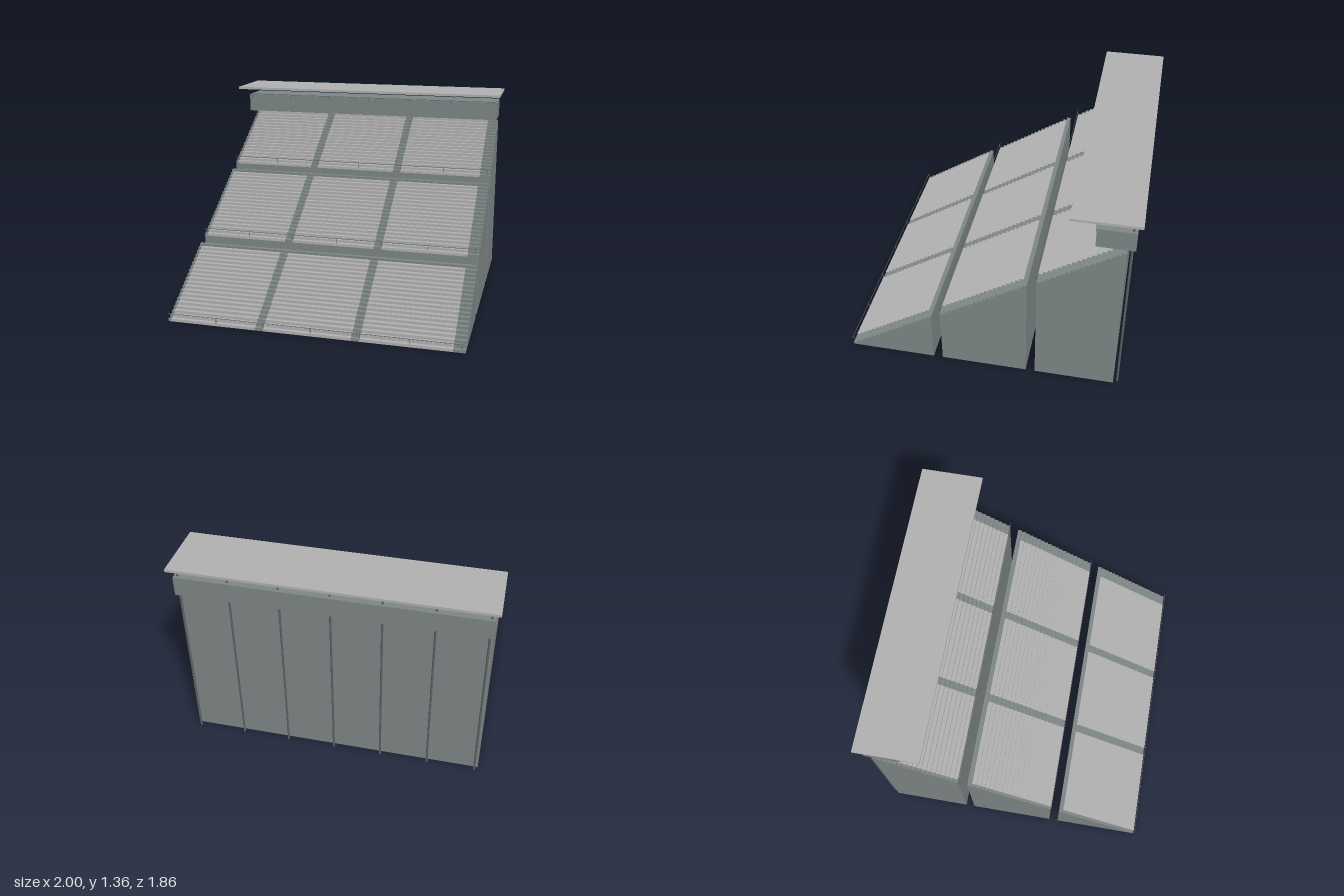
import * as THREE from 'three';
import { mergeGeometries } from 'three/addons/utils/BufferGeometryUtils.js';

const material = (name, color) => {
  const m = new THREE.MeshStandardMaterial({ color });
  m.name = name;
  return m;
};

// box given by its min and max on each axis
function block(x0, x1, y0, y1, z0, z1) {
  const g = new THREE.BoxGeometry(x1 - x0, y1 - y0, z1 - z0);
  g.translate((x0 + x1) / 2, (y0 + y1) / 2, (z0 + z1) / 2);
  return g;
}

export function createModel() {
  const concrete = material('concrete', 0x7d8585);
  const pale = material('pale grey', 0xb0b0b0);
  const metal = material('dark metal', 0x5c6264);

  const model = new THREE.Group();
  model.name = 'grandstand';
  const add = (parent, name, geometry, mat) => {
    const mesh = new THREE.Mesh(geometry, mat);
    mesh.name = name;
    parent.add(mesh);
  };

  const halfWidth = 0.97;
  const postXs = [-3, -2, -1, 0, 1, 2, 3].map((i) => i * 0.316);
  const seatBlocks = [[-0.95, -0.37], [-0.315, 0.26], [0.315, 0.895]];

  // railing: thin top rail on short posts
  function railing(y, z, height) {
    const t = 0.0015;
    const parts = [block(-halfWidth, halfWidth, y + height - 2 * t, y + height, z - t, z + t)];
    for (const x of postXs) parts.push(block(x - t, x + t, y, y + height, z - t, z + t));
    return mergeGeometries(parts);
  }

  // stepped tiers with rows of seating between the aisles
  const tiers = [
    { front: 0.923, back: 0.358, low: 0.018, high: 0.365, rows: 20, seated: 19 },
    { front: 0.296, back: -0.271, low: 0.413, high: 0.761, rows: 20, seated: 19 },
    { front: -0.331, back: -0.851, low: 0.807, high: 1.122, rows: 18, seated: 18 },
  ];
  tiers.forEach(({ front, back, low, high, rows, seated }, n) => {
    const tier = new THREE.Group();
    tier.name = `tier${n + 1}`;
    const depth = (front - back) / rows;
    const rise = (high - low) / (rows - 1);

    // stair profile drawn with depth reversed, then swept across the width
    const profile = new THREE.Shape();
    profile.moveTo(-front, 0);
    profile.lineTo(-back, 0);
    for (let i = rows - 1; i >= 0; i--) {
      profile.lineTo(-front + (i + 1) * depth, low + i * rise);
      profile.lineTo(-front + i * depth, low + i * rise);
    }
    const steps = new THREE.ExtrudeGeometry(profile, { depth: 2 * halfWidth, bevelEnabled: false });
    steps.translate(0, 0, -halfWidth);
    steps.rotateY(Math.PI / 2);
    add(tier, 'steps', steps, concrete);

    // benches cover the tread and riser of each row
    const benches = [];
    for (const [x0, x1] of seatBlocks) {
      for (let i = 0; i < seated; i++) {
        const y = low + i * rise;
        const z = front - i * depth;
        benches.push(block(x0, x1, Math.max(0, y - rise + 0.002), y + 0.002, z - depth, z + 0.002));
      }
    }
    add(tier, 'benches', mergeGeometries(benches), pale);
    add(tier, 'railing', railing(low + 0.005, front + 0.005, 0.035), metal);
    model.add(tier);
  });

  // upper box above the last tier, with its front railing
  add(model, 'upperBox', block(-halfWidth, halfWidth, 1.15, 1.28, -0.9, -0.667), concrete);
  add(model, 'upperRailing', railing(1.25, -0.662, 0.035), metal);

  // columns along the back
  const columns = postXs.map((x) => {
    const g = new THREE.CylinderGeometry(0.007, 0.007, 1.292, 8);
    g.translate(x, 0.646, -0.876);
    return g;
  });
  add(model, 'backColumns', mergeGeometries(columns), metal);

  // flat roof
  add(model, 'roof', block(-1, 1, 1.338, 1.355, -0.93, -0.512), pale);
  return model;
}
